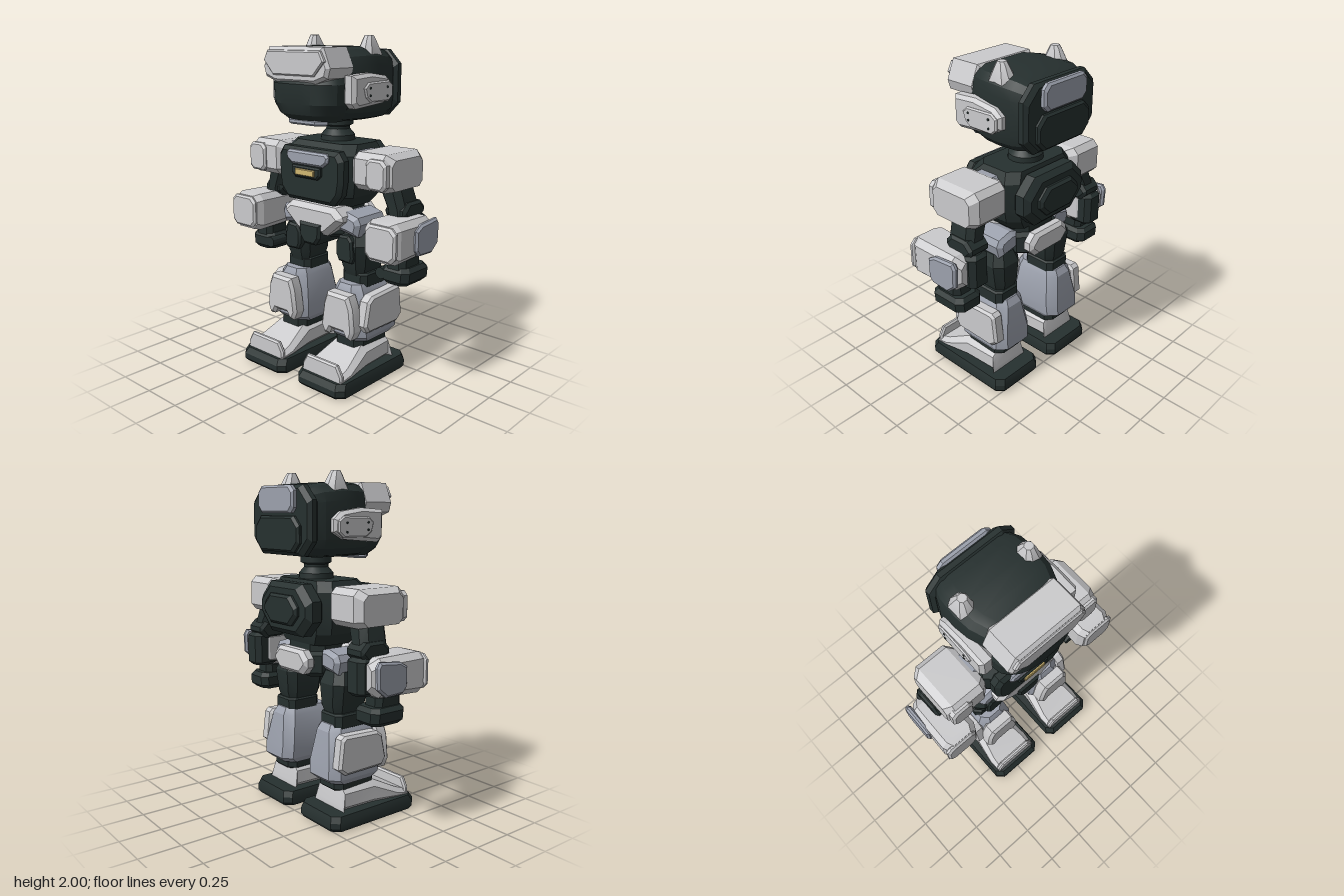
import * as THREE from 'three';
import { toCreasedNormals } from 'three/addons/utils/BufferGeometryUtils.js';

const material = (name, color) => {
  const m = new THREE.MeshStandardMaterial({ color });
  m.name = name;
  return m;
};

// Closed ring of a rectangle whose corners are cut (seg 1) or rounded (seg > 1).
function ring(a0, a1, b0, b1, ca, cb, seg) {
  const pts = [];
  const centres = [[a1 - ca, b1 - cb], [a0 + ca, b1 - cb], [a0 + ca, b0 + cb], [a1 - ca, b0 + cb]];
  centres.forEach(([a, b], k) => {
    for (let i = 0; i <= seg; i++) {
      const t = (k + i / seg) * Math.PI / 2;
      pts.push([a + ca * Math.cos(t), b + cb * Math.sin(t)]);
    }
  });
  return pts;
}

// Skin through sections [t, a0, a1, b0, b1, cutA, cutB] along an axis.
// The (a, b) pair is (x, y) along z, (x, z) along y and (z, y) along x.
function loft(axis, sections, seg = 1) {
  const place = {
    z: (a, b, t) => [a, b, t], y: (a, b, t) => [a, t, b], x: (a, b, t) => [t, b, a],
  }[axis];
  const rings = sections.map(([t, a0, a1, b0, b1, ca = 0.03, cb = ca]) =>
    ring(a0, a1, b0, b1, ca, cb, seg).map(([a, b]) => place(a, b, t)));
  const pos = [];
  const tri = (p, q, r) => pos.push(...p, ...(axis === 'z' ? [...q, ...r] : [...r, ...q]));
  const n = rings[0].length;
  for (let i = 0; i < rings.length - 1; i++) {
    for (let j = 0; j < n; j++) {
      const k = (j + 1) % n, lo = rings[i], hi = rings[i + 1];
      tri(lo[j], lo[k], hi[k]);
      tri(lo[j], hi[k], hi[j]);
    }
  }
  const first = rings[0], last = rings[rings.length - 1];
  for (let j = 1; j < n - 1; j++) {
    tri(last[0], last[j], last[j + 1]);
    tri(first[0], first[j + 1], first[j]);
  }
  const g = new THREE.BufferGeometry();
  g.setAttribute('position', new THREE.Float32BufferAttribute(pos, 3));
  return g;
}

// Box with cut corners around one axis and bevelled ends.
function block(axis, [x0, x1], [y0, y1], [z0, z1], cut = 0.04, bevel = 0.02) {
  const [t0, t1, a0, a1, b0, b1] = {
    z: [z0, z1, x0, x1, y0, y1], y: [y0, y1, x0, x1, z0, z1], x: [x0, x1, z0, z1, y0, y1],
  }[axis];
  const s = (t, d) => [t, a0 + d, a1 - d, b0 + d, b1 - d, cut];
  return loft(axis, [s(t0, bevel), s(t0 + bevel, 0), s(t1 - bevel, 0), s(t1, bevel)]);
}

// Bevelled slab from an outline: (x, y) points along z, or (z, y) points along x.
function slab(axis, points, t0, t1, bevel = 0.01) {
  const shape = new THREE.Shape(points.map(([a, b]) => new THREE.Vector2(axis === 'x' ? -a : a, b)));
  const g = new THREE.ExtrudeGeometry(shape, {
    depth: t1 - t0 - 2 * bevel, bevelEnabled: true, bevelThickness: bevel,
    bevelSize: bevel, bevelOffset: -bevel, bevelSegments: 1,
  });
  g.translate(0, 0, t0 + bevel);
  return axis === 'x' ? g.rotateY(Math.PI / 2) : g;
}

// Completes a half outline by reflecting it in x = 0.
const symmetric = (half) => [...half, ...half.map(([x, y]) => [-x, y]).reverse()];

// Mirrors a triangle soup in x and restores its winding.
function mirrored(geometry) {
  const g = geometry.clone().scale(-1, 1, 1);
  for (const key of ['position', 'normal']) {
    const arr = g.attributes[key].array;
    for (let i = 0; i < arr.length; i += 9) {
      for (let k = 0; k < 3; k++) [arr[i + k], arr[i + 6 + k]] = [arr[i + 6 + k], arr[i + k]];
    }
  }
  return g;
}

export function createModel() {
  const light = material('light armour', 0xcbcbcd);
  const grey = material('blue grey armour', 0x9ca1ad);
  const dark = material('dark frame', 0x26302f);
  const gold = material('gold lamp', 0xd2b872);
  const model = new THREE.Group();
  model.name = 'robot';

  const add = (name, mat, geometry) => {
    const mesh = new THREE.Mesh(toCreasedNormals(geometry, 0.4), mat);
    mesh.name = name;
    model.add(mesh);
    return mesh;
  };
  const pair = (name, mat, geometry) => {
    const left = add(name + 'Left', mat, geometry);
    const right = new THREE.Mesh(mirrored(left.geometry), mat);
    right.name = name + 'Right';
    model.add(right);
  };

  // Head
  add('headShell', dark, loft('z', [
    [-0.28, -0.25, 0.25, 1.54, 1.91, 0.09], [-0.22, -0.275, 0.275, 1.53, 1.93, 0.1],
    [-0.1, -0.285, 0.285, 1.53, 1.94, 0.1], [0, -0.275, 0.275, 1.53, 1.94, 0.1],
    [0.08, -0.245, 0.245, 1.53, 1.935, 0.1], [0.15, -0.22, 0.22, 1.55, 1.86, 0.08]], 3));
  add('headRearRim', dark, block('z', [-0.28, 0.28], [1.54, 1.92], [-0.335, -0.265], 0.08, 0.02));
  add('face', dark, loft('y', [
    [1.53, -0.17, 0.17, 0, 0.22, 0.14, 0.1], [1.57, -0.215, 0.215, 0, 0.265, 0.17, 0.12],
    [1.63, -0.245, 0.245, 0, 0.288, 0.19, 0.13], [1.74, -0.25, 0.25, 0, 0.288, 0.19, 0.13],
    [1.79, -0.23, 0.23, 0, 0.25, 0.17, 0.11]], 5));
  add('forehead', light, slab('z', symmetric(
    [[0.15, 1.745], [0.235, 1.775], [0.252, 1.83], [0.205, 1.94]]), 0.065, 0.287, 0.018));
  add('foreheadPlate', light, slab('z', symmetric(
    [[0.155, 1.785], [0.23, 1.865], [0.2, 1.92]]), 0.27, 0.3, 0.008));
  add('chin', grey, block('y', [-0.15, 0.15], [1.51, 1.545], [0.12, 0.23], 0.05, 0.01));
  add('headRearPanel', grey, block('z', [-0.17, 0.17], [1.77, 1.92], [-0.368, -0.325], 0.03, 0.012));
  add('headRearPlate', dark, block('z', [-0.21, 0.21], [1.56, 1.755], [-0.362, -0.325], 0.05, 0.012));
  pair('ear', light, loft('y', [
    [1.86, 0.15, 0.265, -0.185, -0.03, 0.03], [1.9, 0.153, 0.263, -0.182, -0.032, 0.03],
    [1.98, 0.178, 0.24, -0.14, -0.068, 0.018], [2.0, 0.185, 0.232, -0.125, -0.08, 0.012]]));
  pair('cheek', light, slab('x', [[0.155, 1.79], [0.155, 1.64], [0.12, 1.61], [-0.12, 1.63],
    [-0.19, 1.67], [-0.19, 1.74], [-0.14, 1.78], [0, 1.8]], 0.235, 0.322, 0.02));
  pair('cheekPlate', light, slab('x', [[0.075, 1.72], [0.06, 1.67], [0.02, 1.64], [-0.14, 1.64],
    [-0.175, 1.67], [-0.175, 1.73], [-0.14, 1.755], [0.04, 1.75]], 0.31, 0.332, 0.008));
  for (const [z, y] of [[0.03, 1.72], [0.03, 1.68], [-0.12, 1.72], [-0.12, 1.67]]) {
    pair('cheekStud', dark, new THREE.CylinderGeometry(0.007, 0.007, 0.008, 8)
      .rotateZ(Math.PI / 2).translate(0.332, y, z).toNonIndexed());
  }

  // Neck
  add('neck', dark, new THREE.LatheGeometry([[0, 1.36], [0.105, 1.37], [0.1, 1.43], [0.07, 1.465],
    [0.07, 1.48], [0.09, 1.49], [0.09, 1.56], [0, 1.57]].map(([r, y]) => new THREE.Vector2(r, y)), 20)
    .translate(0, 0, -0.08).toNonIndexed());

  // Torso
  add('torso', dark, loft('y', [
    [1.03, -0.19, 0.19, -0.2, 0.06, 0.05], [1.1, -0.25, 0.25, -0.225, 0.13, 0.06],
    [1.17, -0.265, 0.265, -0.23, 0.14, 0.06], [1.34, -0.268, 0.268, -0.23, 0.14, 0.06],
    [1.4, -0.235, 0.235, -0.21, 0.08, 0.06]]));
  add('chestPlate', dark, slab('z', symmetric([[0.18, 1.055], [0.235, 1.12], [0.25, 1.2],
    [0.25, 1.32], [0.215, 1.37]]), 0.09, 0.18, 0.025));
  add('chestVent', grey, slab('z', symmetric([[0.12, 1.275], [0.16, 1.305], [0.165, 1.335],
    [0.145, 1.355]]), 0.15, 0.198, 0.012));
  add('lampFrame', dark, slab('z', symmetric([[0.085, 1.2], [0.11, 1.225], [0.11, 1.27]]), 0.16, 0.205));
  add('chestLamp', gold, block('z', [-0.075, 0.075], [1.217, 1.255], [0.19, 0.216], 0.004, 0.004));
  add('backpack', dark, block('z', [-0.245, 0.245], [1.09, 1.385], [-0.32, -0.2], 0.09, 0.03));
  add('backpackPlate', dark, block('z', [-0.16, 0.16], [1.15, 1.32], [-0.348, -0.3], 0.06, 0.015));
  add('waist', dark, block('y', [-0.16, 0.16], [0.93, 1.07], [-0.2, 0.08], 0.06));

  // Pelvis
  add('pelvisCore', dark, block('y', [-0.17, 0.17], [0.84, 1.0], [-0.22, 0.1], 0.05, 0.03));
  add('pelvisFront', light, slab('z', symmetric([[0.11, 0.865], [0.23, 0.965], [0.225, 0.995],
    [0.17, 1.04]]), -0.02, 0.165, 0.03));
  add('crotchPlate', dark, slab('z', symmetric([[0.045, 0.8], [0.08, 0.845], [0.085, 0.93]]),
    -0.05, 0.18, 0.015));
  pair('hipPlate', grey, slab('z', [[0.15, 0.9], [0.29, 0.875], [0.31, 0.95], [0.29, 0.99],
    [0.2, 1.015], [0.15, 1.0]], -0.17, 0.1, 0.025));
  add('pelvisRear', light, block('z', [-0.16, 0.16], [0.865, 1.005], [-0.28, -0.2], 0.045, 0.02));

  // Arms
  pair('shoulderJoint', grey, block('x', [0.23, 0.32], [1.2, 1.37], [-0.15, 0.07], 0.05, 0.01));
  pair('shoulder', light, loft('x', [
    [0.27, -0.17, 0.1, 1.18, 1.36, 0.03], [0.31, -0.215, 0.135, 1.17, 1.38, 0.035],
    [0.5, -0.215, 0.135, 1.17, 1.38, 0.035], [0.545, -0.18, 0.1, 1.18, 1.35, 0.03]]));
  pair('shoulderPlate', light, block('z', [0.395, 0.535], [1.185, 1.355], [0.1, 0.152], 0.025, 0.012));
  pair('upperArm', dark, loft('y', [
    [0.98, 0.43, 0.56, -0.18, 0.01, 0.035], [1.06, 0.42, 0.55, -0.18, 0.01, 0.035],
    [1.2, 0.36, 0.51, -0.16, 0.02, 0.035]]));
  pair('elbow', dark, block('x', [0.415, 0.56], [0.99, 1.1], [-0.2, 0.0], 0.04, 0.015));
  pair('forearmFrame', dark, block('y', [0.43, 0.57], [0.81, 1.02], [-0.22, -0.05], 0.03));
  pair('forearm', light, loft('z', [
    [-0.18, 0.45, 0.61, 0.85, 0.99, 0.03], [-0.13, 0.425, 0.645, 0.81, 1.025, 0.035],
    [0.15, 0.415, 0.65, 0.8, 1.03, 0.035], [0.19, 0.435, 0.63, 0.81, 1.02, 0.035]]));
  pair('forearmPlate', light, block('z', [0.44, 0.65], [0.82, 1.015], [0.17, 0.208], 0.03, 0.012));
  pair('forearmShield', grey, slab('x', [[0.03, 0.97], [0.03, 0.86], [0, 0.825], [-0.12, 0.82],
    [-0.18, 0.87], [-0.185, 0.985], [-0.165, 1.015], [-0.02, 1.0]], 0.63, 0.668, 0.012));
  pair('wrist', dark, block('y', [0.465, 0.6], [0.72, 0.81], [-0.12, 0.06], 0.03, 0.01));
  pair('hand', dark, loft('y', [
    [0.645, 0.46, 0.6, -0.14, 0.05, 0.03], [0.67, 0.44, 0.625, -0.17, 0.07, 0.035],
    [0.725, 0.44, 0.63, -0.17, 0.07, 0.035], [0.75, 0.46, 0.61, -0.15, 0.05, 0.03]]));
  pair('thumb', dark, new THREE.CylinderGeometry(0.034, 0.034, 0.12, 12)
    .rotateX(Math.PI / 2).translate(0.45, 0.7, 0.01).toNonIndexed());

  // Legs
  pair('thigh', dark, loft('y', [
    [0.63, 0.15, 0.29, -0.15, 0.05, 0.03], [0.69, 0.13, 0.31, -0.17, 0.07, 0.04],
    [0.82, 0.12, 0.33, -0.18, 0.09, 0.045], [0.89, 0.14, 0.3, -0.15, 0.06, 0.04]]));
  pair('thighPlate', dark, slab('z', [[0.165, 0.72], [0.26, 0.715], [0.275, 0.75], [0.265, 0.85],
    [0.24, 0.88], [0.17, 0.875], [0.145, 0.83], [0.145, 0.76]], 0.05, 0.108, 0.012));
  pair('knee', dark, block('y', [0.135, 0.32], [0.56, 0.65], [-0.17, 0.05], 0.03, 0.01));
  pair('shin', grey, loft('y', [
    [0.25, 0.115, 0.35, -0.2, 0.1, 0.05], [0.285, 0.095, 0.37, -0.24, 0.135, 0.05],
    [0.36, 0.09, 0.37, -0.235, 0.14, 0.05], [0.55, 0.12, 0.33, -0.205, 0.12, 0.05],
    [0.59, 0.14, 0.305, -0.18, 0.1, 0.04]]));
  pair('shinFrontPlate', light, slab('z', [[0.13, 0.285], [0.165, 0.29], [0.185, 0.325],
    [0.275, 0.325], [0.295, 0.29], [0.33, 0.285], [0.355, 0.34], [0.34, 0.48], [0.31, 0.55],
    [0.15, 0.55], [0.125, 0.48], [0.105, 0.34]], 0.1, 0.195, 0.018));
  pair('shinSidePlate', light, slab('x', [[0.13, 0.37], [0.1, 0.325], [-0.17, 0.32], [-0.22, 0.36],
    [-0.2, 0.53], [-0.175, 0.55], [0.06, 0.54], [0.1, 0.51]], 0.32, 0.4, 0.015));
  pair('ankle', dark, block('y', [0.125, 0.335], [0.2, 0.27], [-0.18, 0.11], 0.04, 0.01));

  // Feet
  pair('footUpper', light, loft('z', [
    [-0.165, 0.1, 0.37, 0.07, 0.12, 0.02], [-0.145, 0.115, 0.355, 0.07, 0.23, 0.04],
    [0.07, 0.105, 0.365, 0.07, 0.23, 0.04], [0.24, 0.08, 0.39, 0.07, 0.145, 0.03],
    [0.325, 0.085, 0.385, 0.07, 0.115, 0.02]]));
  pair('toePlate', light, slab('z', [[0.085, 0.08], [0.385, 0.08], [0.385, 0.13], [0.35, 0.19],
    [0.12, 0.19], [0.085, 0.13]], 0.295, 0.328, 0.01));
  pair('sole', dark, loft('y', [
    [0, 0.065, 0.405, -0.255, 0.35, 0.04], [0.02, 0.053, 0.417, -0.267, 0.368, 0.04],
    [0.055, 0.053, 0.417, -0.267, 0.368, 0.04], [0.09, 0.065, 0.405, -0.255, 0.345, 0.04]]));

  return model;
}
